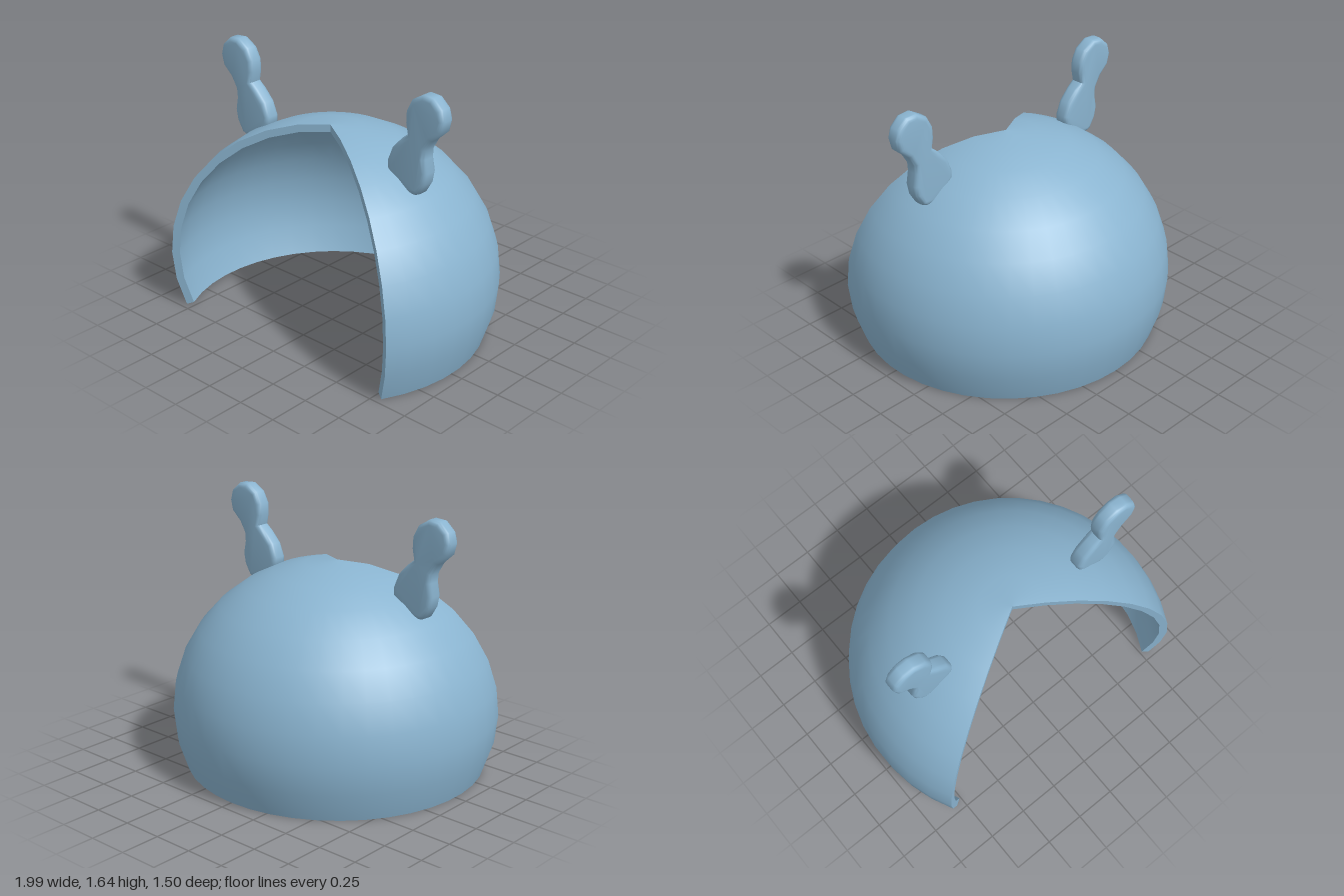
import * as THREE from 'three';
import { toCreasedNormals } from 'three/addons/utils/BufferGeometryUtils.js';

const CENTER_Y = 0.35, CENTER_Z = 0.25, SQUASH = 0.92, INNER = 0.95;
const STEPS = 10, STEP = Math.PI / 16;

// Meridian of the squashed sphere, from the crown down to the rim
function meridian(radius) {
  const points = [];
  for (let i = 0; i <= STEPS; i++) {
    const a = i * STEP;
    points.push(new THREE.Vector2(radius * Math.sin(a), CENTER_Y + radius * SQUASH * Math.cos(a)));
  }
  return points;
}

export function createModel() {
  const group = new THREE.Group();
  const material = new THREE.MeshStandardMaterial({ color: 0x8ab4d0 });
  const thin = new THREE.MeshStandardMaterial({ color: 0x8ab4d0, side: THREE.DoubleSide });

  const add = (name, geometry, mat = material) => {
    const mesh = new THREE.Mesh(geometry, mat);
    mesh.name = name;
    group.add(mesh);
    return mesh;
  };

  // Dome shell with a 120 degree opening at the front
  const outer = meridian(1).reverse();
  const inner = meridian(INNER);
  const sweep = (name, points) => {
    const geometry = new THREE.LatheGeometry(points, 28, Math.PI / 3, Math.PI * 4 / 3);
    add(name, geometry).position.z = CENTER_Z;
  };
  sweep('outerShell', outer);
  sweep('innerShell', inner);
  sweep('bottomRim', [inner[STEPS], outer[0]]);

  // Flat cut faces either side of the opening
  const section = new THREE.ShapeGeometry(new THREE.Shape([...outer, ...inner]));
  for (const [name, angle] of [['leftOpeningEdge', -Math.PI / 6], ['rightOpeningEdge', -Math.PI * 5 / 6]]) {
    const edge = add(name, section, thin);
    edge.rotation.y = angle;
    edge.position.z = CENTER_Z;
  }

  // Antennae: flat knobbed outline with rounded edges, its foot sunk into the dome
  const outline = [
    [0.775, 1.63], [0.705, 1.635], [0.63, 1.59], [0.593, 1.52], [0.59, 1.45], [0.603, 1.385],
    [0.56, 1.35], [0.497, 1.283], [0.463, 1.2], [0.465, 1.15], [0.52, 1.09], [0.61, 1.04],
    [0.663, 1.04], [0.69, 1.053], [0.73, 1.12], [0.743, 1.187], [0.728, 1.267],
    [0.732, 1.32], [0.77, 1.385], [0.835, 1.444], [0.852, 1.513], [0.834, 1.577],
  ];
  const bevel = 0.028;
  for (const [name, side] of [['leftAntenna', 1], ['rightAntenna', -1]]) {
    const shape = new THREE.Shape(outline.map(([x, y]) => new THREE.Vector2(side * x, y)));
    const geometry = new THREE.ExtrudeGeometry(shape, {
      depth: 0.1 - 2 * bevel, bevelEnabled: true, bevelThickness: bevel,
      bevelSize: bevel, bevelOffset: -bevel, bevelSegments: 4,
    });
    add(name, toCreasedNormals(geometry, 0.8)).position.z = 0.2 + bevel;
  }

  return group;
}
